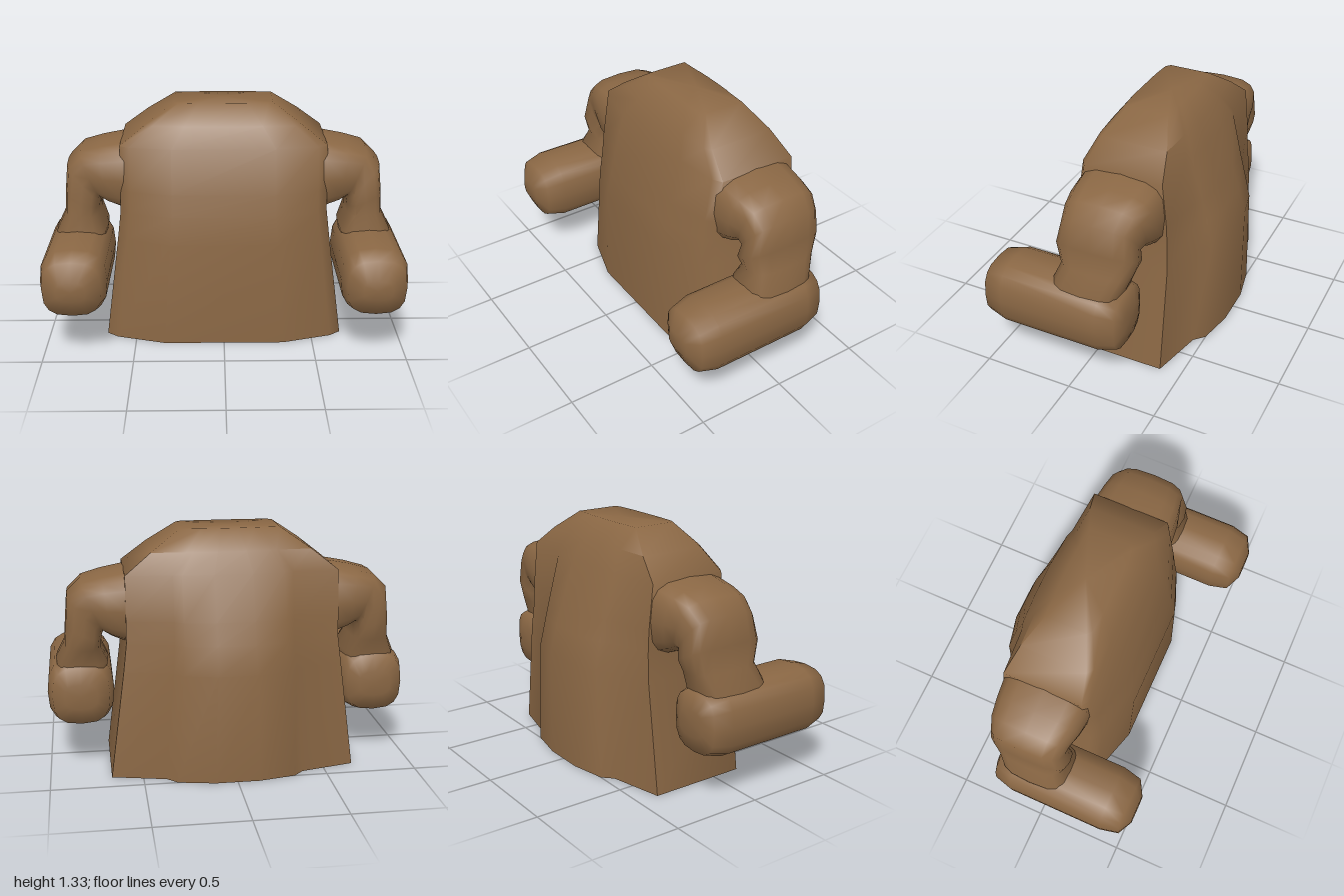
import * as THREE from 'three';
import { toCreasedNormals } from 'three/addons/utils/BufferGeometryUtils.js';

// Skins a list of closed rings and caps both ends
function loft(rings) {
  const n = rings[0].length, pos = [], idx = [];
  rings.forEach(r => r.forEach(p => pos.push(p.x, p.y, p.z)));
  for (let i = 0; i < rings.length - 1; i++) {
    for (let j = 0; j < n; j++) {
      const a = i * n + j, b = i * n + (j + 1) % n;
      idx.push(a, b, b + n, a, b + n, a + n);
    }
  }
  [0, rings.length - 1].forEach((k, end) => {
    const c = new THREE.Vector3();
    rings[k].forEach(p => c.addScaledVector(p, 1 / n));
    const ci = pos.length / 3;
    pos.push(c.x, c.y, c.z);
    for (let j = 0; j < n; j++) {
      const a = k * n + j, b = k * n + (j + 1) % n;
      if (end) idx.push(ci, a, b); else idx.push(ci, b, a);
    }
  });
  const g = new THREE.BufferGeometry();
  g.setAttribute('position', new THREE.Float32BufferAttribute(pos, 3));
  g.setIndex(idx);
  return toCreasedNormals(g, 1.15);
}

// Rounded-square ring around centre c with half axes u and v
function softRing(c, u, v, power) {
  const soft = t => Math.sign(t) * Math.pow(Math.abs(t), power);
  return Array.from({ length: 16 }, (_, i) => {
    const a = i / 16 * Math.PI * 2;
    return c.clone().addScaledVector(u, soft(Math.cos(a))).addScaledVector(v, soft(Math.sin(a)));
  });
}

const mirrorRings = rings => rings.map(r => r.map(p => new THREE.Vector3(-p.x, p.y, p.z)).reverse());

// Torso ring: flat chest, bevelled front corners, sharp rear corners, humped back
function torsoRing([y, w, front, frontCorner, backCorner, back]) {
  const mix = t => backCorner + (back - backCorner) * t;
  const half = [
    [0.5, front], [0.91, frontCorner + 0.25 * (front - frontCorner)], [1, frontCorner - 0.02],
    [1, backCorner], [0.56, mix(0.42)], [0.48, mix(0.75)], [0.18, back],
  ].map(([x, z]) => new THREE.Vector3(x * w, y, z));
  const other = half.map(p => new THREE.Vector3(-p.x, p.y, p.z)).reverse();
  return [...half, ...other];
}

export function createModel() {
  const model = new THREE.Group();
  model.name = 'torsoWithArms';
  const brown = new THREE.MeshStandardMaterial({ color: 0x8a6744 });
  brown.name = 'brown';
  const V = (x, y, z) => new THREE.Vector3(x, y, z);
  const add = (name, rings) => {
    const m = new THREE.Mesh(loft(rings), brown);
    m.name = name;
    model.add(m);
  };

  // Torso: height, half width, front, front corner, back corner, back
  add('torso', [
    [0, 0.67, 0.29, 0.18, -0.38, -0.54],
    [0.6, 0.59, 0.29, 0.17, -0.38, -0.54],
    [0.75, 0.572, 0.262, 0.16, -0.37, -0.50],
    [0.87, 0.571, 0.235, 0.15, -0.365, -0.46],
    [1.11, 0.57, 0.17, 0.12, -0.34, -0.38],
    [1.22, 0.43, 0.11, 0.09, -0.30, -0.32],
    [1.33, 0.27, 0.03, 0.02, -0.23, -0.24],
  ].map(torsoRing));

  // Upper arm: outer x, y, inner x, y, front z, back z
  const upperArm = [
    [0.45, 1.12, 0.45, 0.72, 0.13, -0.34],
    [0.57, 1.113, 0.57, 0.725, 0.14, -0.355],
    [0.69, 1.09, 0.64, 0.755, 0.13, -0.345],
    [0.80, 1.06, 0.685, 0.785, 0.11, -0.33],
    [0.877, 0.985, 0.69, 0.77, 0.10, -0.31],
    [0.89, 0.83, 0.695, 0.74, 0.13, -0.32],
    [0.90, 0.70, 0.70, 0.69, 0.10, -0.29],
    [0.95, 0.60, 0.66, 0.60, 0.14, -0.25],
    [0.94, 0.50, 0.68, 0.50, 0.12, -0.24],
  ].map(([ox, oy, ix, iy, f, b]) => softRing(
    V((ox + ix) / 2, (oy + iy) / 2, (f + b) / 2),
    V((ox - ix) / 2, (oy - iy) / 2, 0), V(0, 0, (f - b) / 2), 0.6));

  // Forearm: z, half width, half height
  const forearm = [
    [-0.285, 0.09, 0.07], [-0.26, 0.155, 0.16], [-0.16, 0.182, 0.185],
    [0.39, 0.182, 0.185], [0.495, 0.16, 0.155], [0.54, 0.08, 0.055],
  ].map(([z, w, h]) => softRing(V(0.818, 0.435, z), V(w, 0, 0), V(0, h, 0), 0.7));

  add('leftUpperArm', upperArm);
  add('rightUpperArm', mirrorRings(upperArm));
  add('leftForearm', forearm);
  add('rightForearm', mirrorRings(forearm));
  return model;
}
